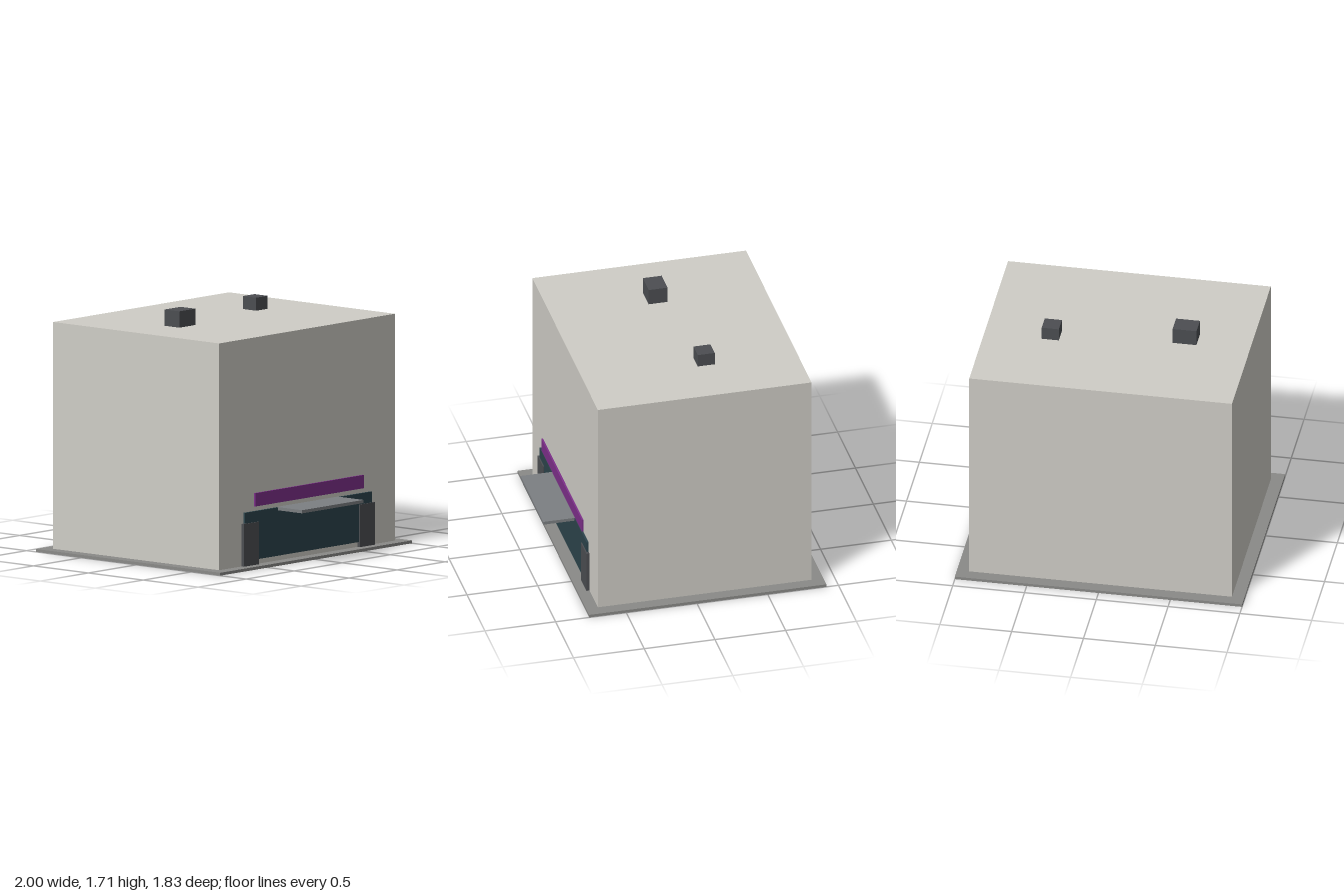
import * as THREE from 'three';

export function createModel() {
  const model = new THREE.Group();
  model.name = 'building';

  const material = (color) => new THREE.MeshStandardMaterial({ color });
  const wall = material(0xcfcdc6);
  const paving = material(0x8a8a88);
  const glass = material(0x2c444c);
  const dark = material(0x4c4e52);
  const metal = material(0x7c7f82);
  const purple = material(0x7d2f8a);

  // Box given by its extents along each axis
  function box(name, mat, [x0, x1], [y0, y1], [z0, z1]) {
    const mesh = new THREE.Mesh(new THREE.BoxGeometry(x1 - x0, y1 - y0, z1 - z0), mat);
    mesh.position.set((x0 + x1) / 2, (y0 + y1) / 2, (z0 + z1) / 2);
    mesh.name = name;
    model.add(mesh);
  }

  // Ground slab and main block
  box('pavement', paving, [-1, 1], [0, 0.02], [-0.915, 0.763]);
  box('mainBlock', wall, [-0.915, 0.915], [0.02, 1.592], [-0.831, 0.68]);

  // Shopfront: glazing, side piers, sign band and canopy
  box('shopWindow', glass, [-0.66, 0.66], [0.055, 0.39], [0.675, 0.694]);
  for (const side of [-1, 1]) {
    const xs = [side * 0.527, side * 0.682].sort((a, b) => a - b);
    box(side > 0 ? 'leftPier' : 'rightPier', dark, xs, [0.02, 0.315], [0.675, 0.702]);
  }
  box('signBand', purple, [-0.565, 0.565], [0.425, 0.517], [0.693, 0.705]);
  box('canopy', metal, [-0.319, 0.319], [0.37, 0.392], [0.677, 0.915]);

  // Rooftop units
  box('largeRoofUnit', dark, [-0.544, -0.378], [1.592, 1.705], [-0.141, -0.007]);
  box('smallRoofUnit', dark, [0.395, 0.515], [1.592, 1.682], [-0.248, -0.128]);

  return model;
}
